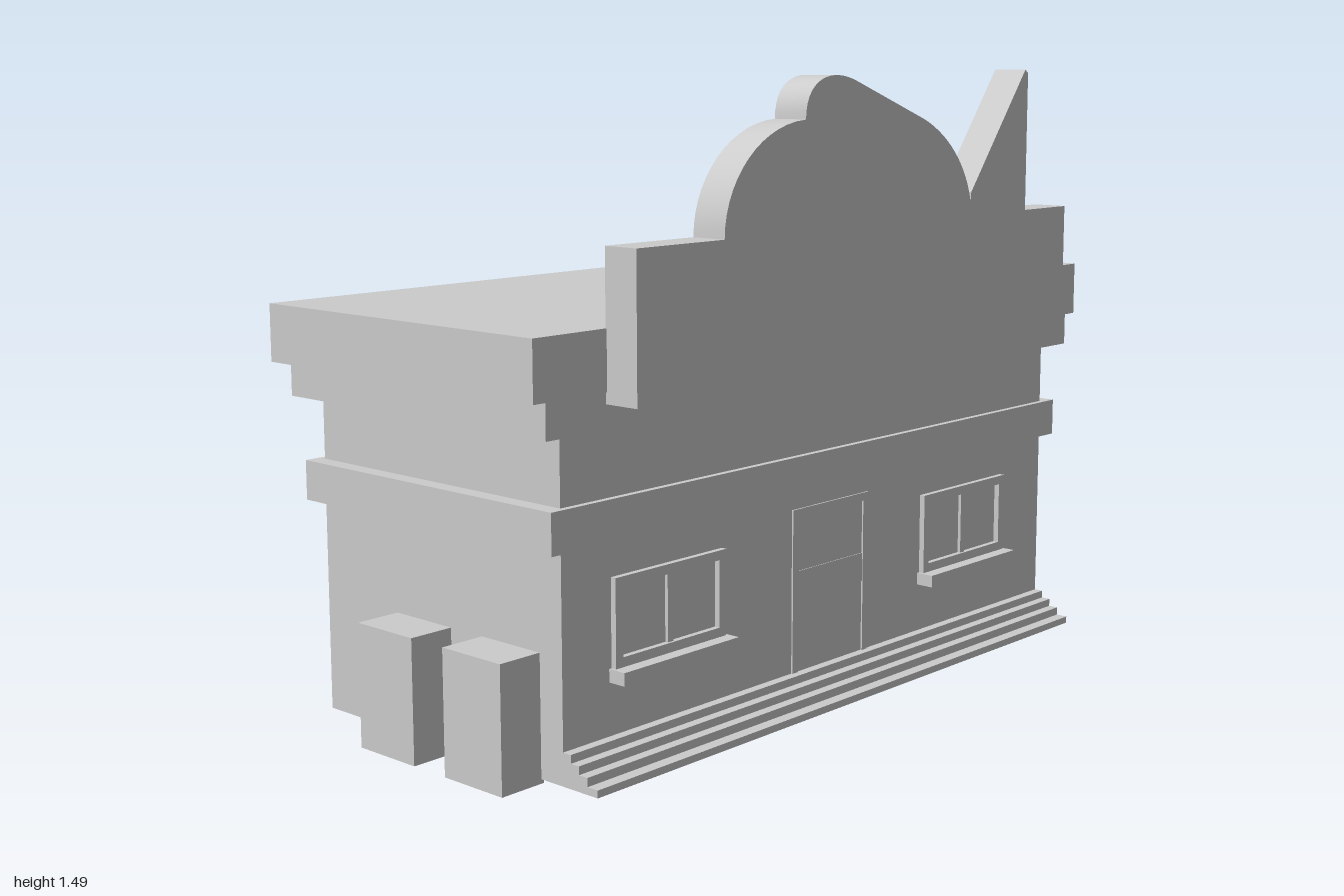
import * as THREE from 'three';
import { toCreasedNormals } from 'three/addons/utils/BufferGeometryUtils.js';

const material = new THREE.MeshStandardMaterial({ color: 0xcccccc });

// Box given by its min and max on each axis
function block(parent, name, [x0, x1], [y0, y1], [z0, z1]) {
  const mesh = new THREE.Mesh(new THREE.BoxGeometry(x1 - x0, y1 - y0, z1 - z0), material);
  mesh.position.set((x0 + x1) / 2, (y0 + y1) / 2, (z0 + z1) / 2);
  mesh.name = name;
  parent.add(mesh);
  return mesh;
}

// Extrudes a shape drawn in (-z, y) along +x
function facadeExtrusion(parent, name, shape, x0, x1) {
  const geometry = new THREE.ExtrudeGeometry(shape, { depth: x1 - x0, bevelEnabled: false, curveSegments: 14 });
  const mesh = new THREE.Mesh(toCreasedNormals(geometry, 0.5), material);
  mesh.rotation.y = Math.PI / 2;
  mesh.position.x = x0;
  mesh.name = name;
  parent.add(mesh);
  return mesh;
}

// Rectangular frame with one opening
function frameShape(s0, s1, y0, y1, border, bottom = border) {
  const rect = (a, b, c, d) => [[a, c], [b, c], [b, d], [a, d]].map(p => new THREE.Vector2(...p));
  const shape = new THREE.Shape(rect(s0, s1, y0, y1));
  shape.holes.push(new THREE.Path(rect(s0 + border, s1 - border, y0 + bottom, y1 - border).reverse()));
  return shape;
}

function addWindow(parent, name, z0, z1) {
  const group = new THREE.Group();
  group.name = name;
  facadeExtrusion(group, 'windowFrame', frameShape(-z1, -z0, 0.235, 0.435, 0.022), 0.355, 0.374);
  const mid = (z0 + z1) / 2;
  block(group, 'windowMullion', [0.355, 0.368], [0.25, 0.42], [mid - 0.009, mid + 0.009]);
  block(group, 'windowSill', [0.355, 0.406], [0.205, 0.235], [z0 - 0.007, z1 + 0.007]);
  parent.add(group);
}

export function createModel() {
  const model = new THREE.Group();
  model.name = 'shopBuilding';

  // Walls and stacked cornices
  block(model, 'walls', [-0.426, 0.36], [0.01, 0.78], [-0.893, 0.888]);
  block(model, 'wallBand', [-0.445, 0.375], [0.515, 0.608], [-0.935, 0.928]);
  block(model, 'lowerCornice', [-0.457, 0.388], [0.76, 0.84], [-0.963, 0.952]);
  block(model, 'roofSlab', [-0.481, 0.391], [0.84, 0.974], [-1, 0.988]);

  // Steps along the shop front
  const steps = new THREE.Group();
  steps.name = 'frontSteps';
  [[0.462, 0.01, 0.027], [0.432, 0.027, 0.047], [0.407, 0.047, 0.066], [0.383, 0.066, 0.085]]
    .forEach(([x, y0, y1], i) => block(steps, `step${i + 1}`, [0.35, x], [y0, y1], [-0.893, 0.888]));
  model.add(steps);

  // Door with thin surround and push bar
  facadeExtrusion(model, 'doorFrame', frameShape(-0.145, 0.14, 0.08, 0.48, 0.02, 0.002), 0.355, 0.364);
  block(model, 'doorBar', [0.355, 0.362], [0.26, 0.33], [-0.12, 0.125]);

  // Windows
  addWindow(model, 'leftWindow', 0.391, 0.743);
  addWindow(model, 'rightWindow', -0.709, -0.357);

  // Utility boxes against the end wall
  block(model, 'utilityBoxA', [-0.175, 0.008], [0, 0.288], [0.88, 1]);
  block(model, 'utilityBoxB', [0.11, 0.292], [0, 0.288], [0.88, 1]);

  // Signboard: domed crest, long slope and a pointed spike
  const sign = new THREE.Shape();
  sign.moveTo(-0.78, 0.815);
  sign.lineTo(0.805, 0.815);
  sign.lineTo(0.805, 1.144);
  sign.lineTo(0.622, 1.144);
  sign.lineTo(0.622, 1.485);
  sign.lineTo(0.61, 1.494);
  sign.lineTo(0.386, 1.2);
  sign.lineTo(0.384, 1.178);
  sign.bezierCurveTo(0.362, 1.27, 0.29, 1.34, 0.193, 1.38);
  sign.lineTo(-0.075, 1.475);
  sign.bezierCurveTo(-0.16, 1.502, -0.246, 1.48, -0.246, 1.39);
  sign.bezierCurveTo(-0.4, 1.382, -0.513, 1.27, -0.513, 1.144);
  sign.lineTo(-0.78, 1.144);
  facadeExtrusion(model, 'signBoard', sign, 0.388, 0.478);

  return model;
}
